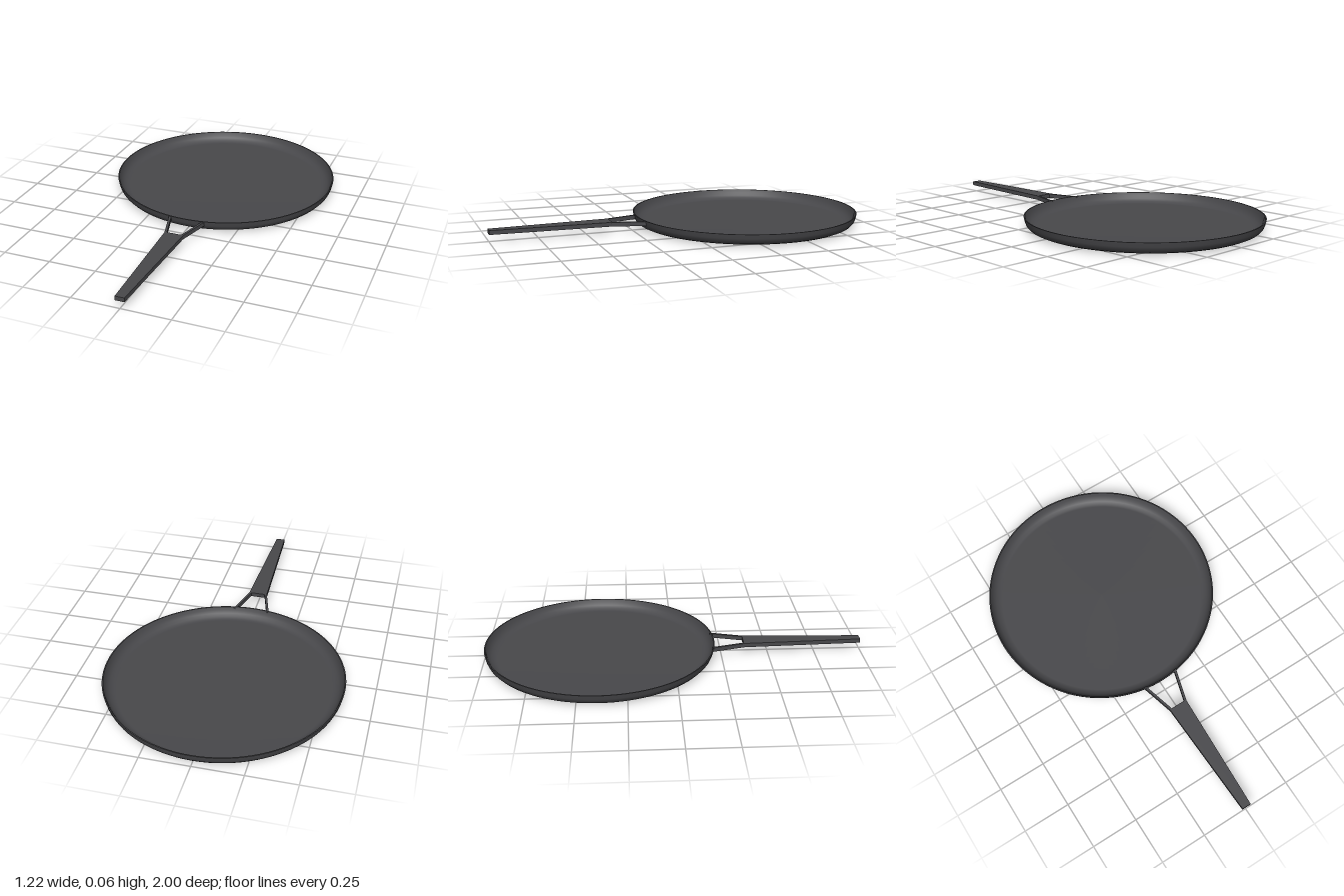
import * as THREE from 'three';
import { mergeGeometries } from 'three/addons/utils/BufferGeometryUtils.js';

const PAN_Z = -0.392;

// Revolve each profile run separately so the joins between runs stay sharp
function latheRuns(runs) {
  return mergeGeometries(runs.map(run =>
    new THREE.LatheGeometry(run.map(([r, y]) => new THREE.Vector2(r, y)), 96)));
}

// Flat plate drawn in x/z and given a thickness in y
function plate(points, y, thickness) {
  const shape = new THREE.Shape(points.map(([x, z]) => new THREE.Vector2(x, -z)));
  const geometry = new THREE.ExtrudeGeometry(shape, { depth: thickness, bevelEnabled: false });
  return geometry.rotateX(-Math.PI / 2).translate(0, y, 0);
}

export function createModel() {
  const group = new THREE.Group();
  const iron = new THREE.MeshStandardMaterial({ color: 0x48484b });
  iron.name = 'dark iron';

  const add = (name, geometry) => {
    const mesh = new THREE.Mesh(geometry, iron);
    mesh.name = name;
    group.add(mesh);
    return mesh;
  };

  // Shallow dish: underside, curved wall, rim, sloping inner wall, floor
  const dish = add('dish', latheRuns([
    [[0, 0], [0.53, 0], [0.54, 0.001], [0.567, 0.006], [0.585, 0.014],
      [0.597, 0.027], [0.603, 0.042], [0.608, 0.065]],
    [[0.608, 0.065], [0.602, 0.065]],
    [[0.602, 0.065], [0.596, 0.048], [0.587, 0.032], [0.574, 0.02],
      [0.558, 0.013], [0.545, 0.011], [0, 0.011]],
  ]));
  dish.position.z = PAN_Z;

  // Tapered grip
  add('handle', plate([[-0.05, 0.37], [-0.024, 1], [0.024, 1], [0.05, 0.37]], 0.039, 0.022));

  // Two slim struts joining the grip to the dish wall
  for (const s of [1, -1]) {
    const outline = [[0.05, 0.375], [0.099, 0.199], [0.086, 0.199], [0.037, 0.375]]
      .map(([x, z]) => [x * s, z]);
    add(s > 0 ? 'leftStrut' : 'rightStrut', plate(outline, 0.039, 0.022));
  }
  return group;
}
